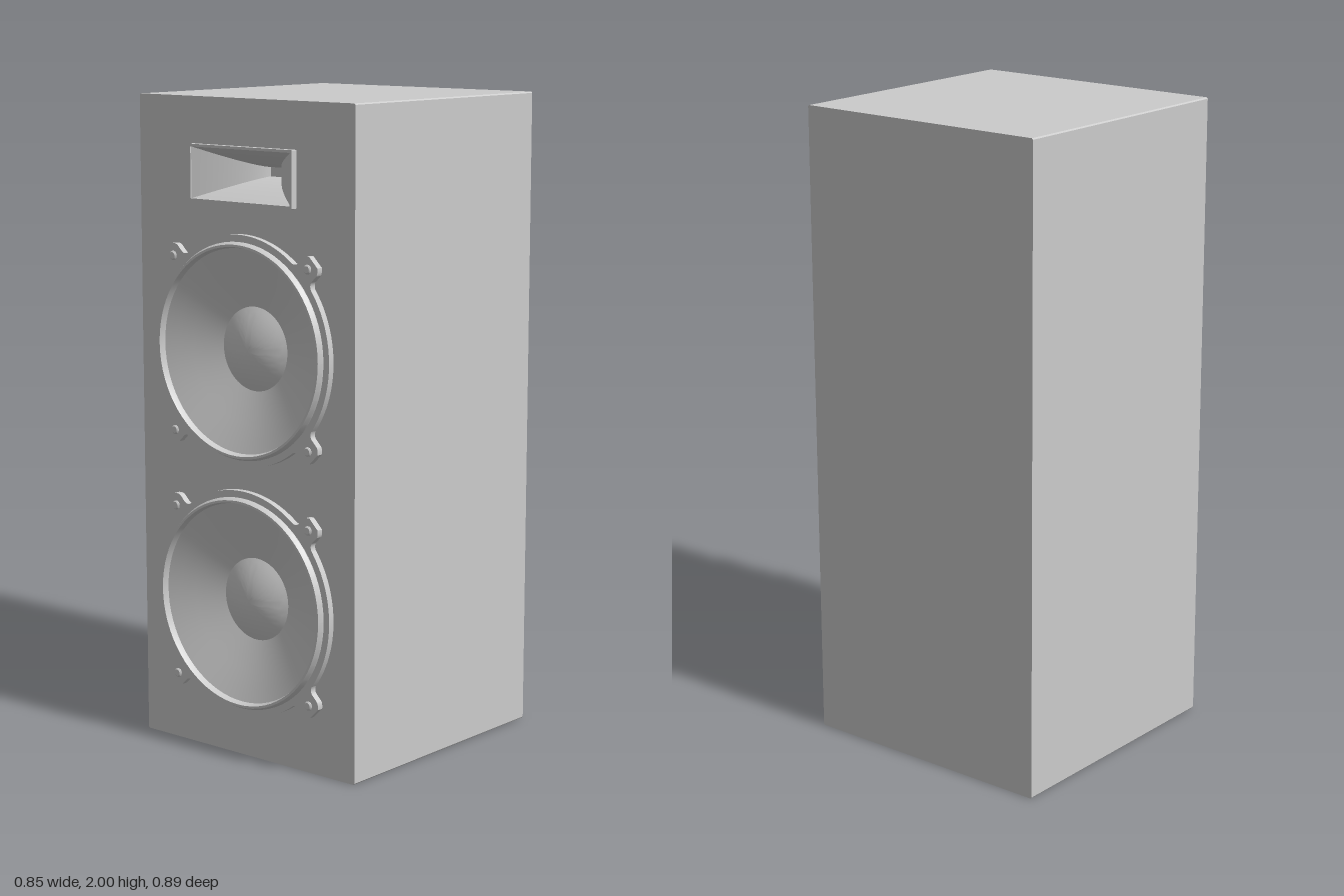
import * as THREE from 'three';
import { toCreasedNormals } from 'three/addons/utils/BufferGeometryUtils.js';

const material = new THREE.MeshStandardMaterial({ color: 0xcccccc });
const innerMaterial = new THREE.MeshStandardMaterial({ color: 0xcccccc, side: THREE.DoubleSide });

const W = 0.424, FRONT = 0.403, BACK = -0.445, SPLIT = 0.15;
const WOOFERS = [1.255, 0.485];
const HORN_Y = 1.775;

function add(parent, name, geometry, x = 0, y = 0, z = 0, mat = material) {
  const mesh = new THREE.Mesh(geometry, mat);
  mesh.name = name;
  mesh.position.set(x, y, z);
  parent.add(mesh);
  return mesh;
}

// Rectangle outline with small cut corners
function rect(hx, hy, c, cy = 0, Type = THREE.Shape) {
  const pts = [
    [hx - c, -hy], [hx, -hy + c], [hx, hy - c], [hx - c, hy],
    [-hx + c, hy], [-hx, hy - c], [-hx, -hy + c], [-hx + c, -hy],
  ];
  return new Type(pts.map(([x, y]) => new THREE.Vector2(x, y + cy)));
}

function circleHole(r, y = 0) {
  return new THREE.Path().absarc(0, y, r, 0, Math.PI * 2, true);
}

function extrude(shape, depth, bevel = 0) {
  return new THREE.ExtrudeGeometry(shape, {
    depth, curveSegments: 48, bevelEnabled: bevel > 0,
    bevelSize: bevel, bevelThickness: bevel, bevelOffset: -bevel, bevelSegments: 1,
  });
}

// Lathe profile of [radius, z] pairs, turned to face +z
function latheZ(profile) {
  const g = new THREE.LatheGeometry(profile.map(([r, z]) => new THREE.Vector2(r, z)), 72);
  return toCreasedNormals(g.rotateX(Math.PI / 2), 0.5);
}

// Round flange with four mounting ears flared out of the rim
function flangeShape() {
  const shape = new THREE.Shape();
  const R = 0.348, spread = 0.15;
  for (let i = 0; i < 4; i++) {
    const a = Math.PI / 4 + i * Math.PI / 2;
    const c = Math.cos(a), s = Math.sin(a);
    const p = (u, v) => [u * c - v * s, u * s + v * c];
    const start = p(R * Math.cos(spread), -R * Math.sin(spread));
    if (i === 0) shape.moveTo(...start);
    shape.quadraticCurveTo(...p(0.35, -0.036), ...p(0.365, -0.036));
    shape.lineTo(...p(0.389, -0.036));
    shape.quadraticCurveTo(...p(0.398, -0.034), ...p(0.408, -0.022));
    shape.lineTo(...p(0.408, 0.022));
    shape.quadraticCurveTo(...p(0.398, 0.034), ...p(0.389, 0.036));
    shape.lineTo(...p(0.365, 0.036));
    shape.quadraticCurveTo(...p(0.35, 0.036), ...p(R * Math.cos(spread), R * Math.sin(spread)));
    shape.absarc(0, 0, R, a + spread, a + Math.PI / 2 - spread, false);
  }
  shape.holes.push(circleHole(0.32));
  return shape;
}

function makeWoofer() {
  const woofer = new THREE.Group();
  woofer.name = 'woofer';
  add(woofer, 'flange', extrude(flangeShape(), 0.02), 0, 0, 0.408);

  // Raised gasket ring standing on the baffle
  add(woofer, 'gasketRing', latheZ([
    [0.327, 0.4], [0.327, 0.432], [0.32, 0.445], [0.313, 0.445], [0.308, 0.425], [0.308, 0.4],
  ]));

  // Shallow cone with a convex dust cap
  add(woofer, 'cone', latheZ([
    [0.31, 0.426], [0.27, 0.411], [0.22, 0.392], [0.17, 0.373], [0.127, 0.358],
  ]), 0, 0, 0, innerMaterial);
  const cap = [];
  for (let i = 0; i <= 10; i++) {
    const r = 0.128 * (1 - i / 10);
    cap.push([r, 0.358 + 0.036 * (1 - (r / 0.128) ** 2)]);
  }
  add(woofer, 'dustCap', latheZ(cap), 0, 0, 0, innerMaterial);

  // Screws in the ears
  for (const sx of [-1, 1]) for (const sy of [-1, 1]) {
    add(woofer, 'screw', latheZ([
      [0.014, 0.4], [0.014, 0.43], [0.01, 0.434], [0, 0.435],
    ]), sx * 0.267, sy * 0.267, 0);
  }
  return woofer;
}

function makeHorn() {
  const horn = new THREE.Group();
  horn.name = 'horn';
  const frame = rect(0.204, 0.085, 0.001);
  frame.holes.push(rect(0.196, 0.077, 0.001, 0, THREE.Path));
  add(horn, 'hornFrame', extrude(frame, 0.024), 0, 0, 0.4);

  // Four-sided flare narrowing to the throat
  const flare = new THREE.CylinderGeometry(Math.SQRT2, Math.SQRT2, 1, 4, 14, true);
  flare.rotateY(Math.PI / 4).rotateX(Math.PI / 2);
  const pos = flare.attributes.position;
  for (let i = 0; i < pos.count; i++) {
    const t = pos.getZ(i) + 0.5;
    const hx = 0.03 + 0.166 * t ** 1.5;
    const hy = 0.014 + 0.063 * t ** 1.5;
    pos.setXYZ(i, pos.getX(i) * hx, pos.getY(i) * hy, 0.25 + 0.17 * t);
  }
  add(horn, 'hornFlare', toCreasedNormals(flare, 0.6), 0, 0, 0, innerMaterial);
  add(horn, 'hornThroat', new THREE.BoxGeometry(0.07, 0.035, 0.02), 0, 0, 0.241);
  return horn;
}

export function createModel() {
  const model = new THREE.Group();
  model.name = 'loudspeaker';

  // Cabinet: solid rear body and a front baffle with openings
  const body = extrude(rect(W, 1, 0.004), SPLIT - BACK);
  add(model, 'cabinetBody', body, 0, 1, BACK);
  const baffle = rect(W, 1, 0.004, 1);
  for (const y of WOOFERS) baffle.holes.push(circleHole(0.315, y));
  baffle.holes.push(rect(0.2, 0.081, 0.001, HORN_Y, THREE.Path));
  add(model, 'frontBaffle', extrude(baffle, FRONT - SPLIT), 0, 0, SPLIT);

  for (const y of WOOFERS) {
    const woofer = makeWoofer();
    woofer.position.y = y;
    model.add(woofer);
  }

  const horn = makeHorn();
  horn.position.y = HORN_Y;
  model.add(horn);
  return model;
}
